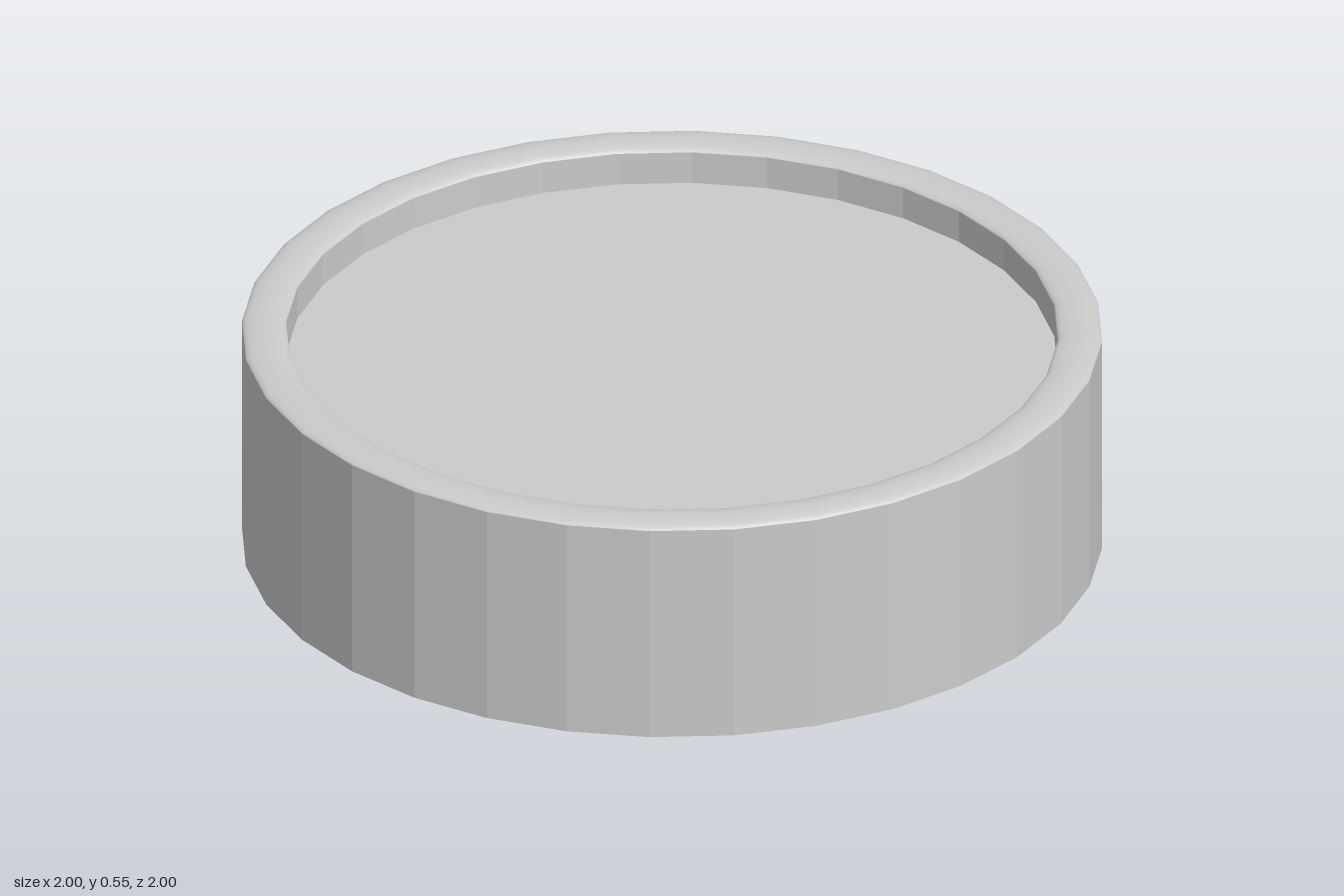
import * as THREE from 'three';

const SIDES = 32;
const OUTER = 1, INNER = 0.897;
const WALL_TOP = 0.54, FLOOR = 0.46, CROWN = 0.012;

export function createModel() {
  const group = new THREE.Group();
  group.name = 'shallowDish';
  const smooth = new THREE.MeshStandardMaterial({ color: 0xcccccc });
  const faceted = new THREE.MeshStandardMaterial({ color: 0xcccccc, flatShading: true });

  const lathe = (name, points, material) => {
    const profile = points.map(([r, y]) => new THREE.Vector2(r, y));
    const mesh = new THREE.Mesh(new THREE.LatheGeometry(profile, SIDES), material);
    mesh.name = name;
    group.add(mesh);
  };

  // Faceted drum with a flat base
  lathe('base', [[0, 0], [OUTER, 0]], faceted);
  lathe('outerWall', [[OUTER, 0], [OUTER, WALL_TOP]], faceted);

  // Softly domed rim, a flattened half ellipse
  const mid = (OUTER + INNER) / 2, half = (OUTER - INNER) / 2;
  const rim = [];
  for (let i = 0; i <= 10; i++) {
    const a = (i / 10) * Math.PI;
    rim.push([mid + half * Math.cos(a), WALL_TOP + CROWN * Math.sin(a)]);
  }
  lathe('rim', rim, smooth);

  // Recessed floor and the short wall around it
  lathe('innerWall', [[INNER, WALL_TOP], [INNER, FLOOR]], faceted);
  lathe('recessedFloor', [[INNER, FLOOR], [0, FLOOR]], faceted);

  return group;
}
